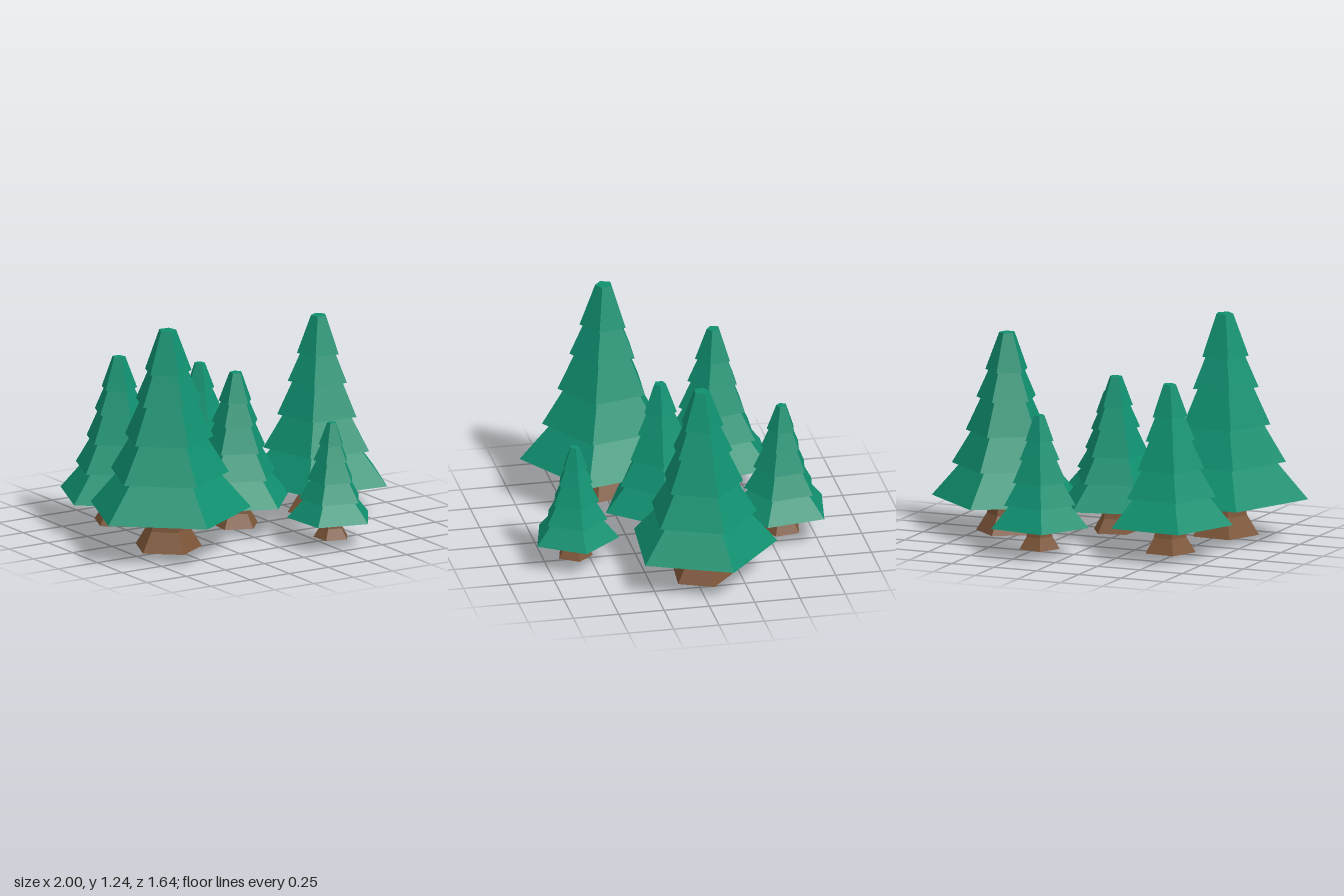
import * as THREE from 'three';

const SIDES = 5;
const leafMaterial = new THREE.MeshStandardMaterial({ color: 0x109070, flatShading: true });
const barkMaterial = new THREE.MeshStandardMaterial({ color: 0x7d5538, flatShading: true });

// Tree proportions, with the widest tier's radius as the unit.
// Each tier: bottom radius, bottom height, top radius, top height
const TIERS = [
  [1.0, 0.445, 0.62, 0.885],
  [0.735, 0.885, 0.47, 1.326],
  [0.55, 1.326, 0.345, 1.77],
  [0.41, 1.77, 0.245, 2.14],
  [0.29, 2.14, 0.105, 2.64],
];
const TRUNK = [[0, 0], [0.413, 0], [0.27, 0.235], [0.225, 0.46], [0, 0.46]];

// x, base height, z, widest radius, turn in degrees
const TREES = [
  [-0.555, 0.024, 0.251, 0.459, 22.2],
  [-0.492, 0.028, -0.34, 0.348, 22],
  [0.597, 0, -0.041, 0.414, -13.1],
  [0.002, 0.03, 0.061, 0.322, 4.8],
  [0.172, 0.036, -0.574, 0.277, 27.5],
  [0.28, 0.04, 0.591, 0.242, -3.9],
];

function createTree() {
  const tree = new THREE.Group();

  // Flared trunk
  const profile = TRUNK.map(([r, y]) => new THREE.Vector2(r, y));
  const trunk = new THREE.Mesh(new THREE.LatheGeometry(profile, SIDES, Math.PI / 2), barkMaterial);
  trunk.name = 'trunk';
  tree.add(trunk);

  // Stacked skirts of foliage
  TIERS.forEach(([bottomR, bottomY, topR, topY], i) => {
    const height = topY - bottomY;
    const geometry = new THREE.CylinderGeometry(topR, bottomR, height, SIDES, 1, false, Math.PI / 2);
    const tier = new THREE.Mesh(geometry, leafMaterial);
    tier.position.y = bottomY + height / 2;
    tier.name = `foliageTier${i + 1}`;
    tree.add(tier);
  });
  return tree;
}

export function createModel() {
  const model = new THREE.Group();
  model.name = 'pineGrove';
  TREES.forEach(([x, y, z, size, turn], i) => {
    const tree = createTree();
    tree.name = `pineTree${i + 1}`;
    tree.position.set(x, y, z);
    tree.scale.setScalar(size);
    tree.rotation.y = -THREE.MathUtils.degToRad(turn);
    model.add(tree);
  });
  return model;
}
